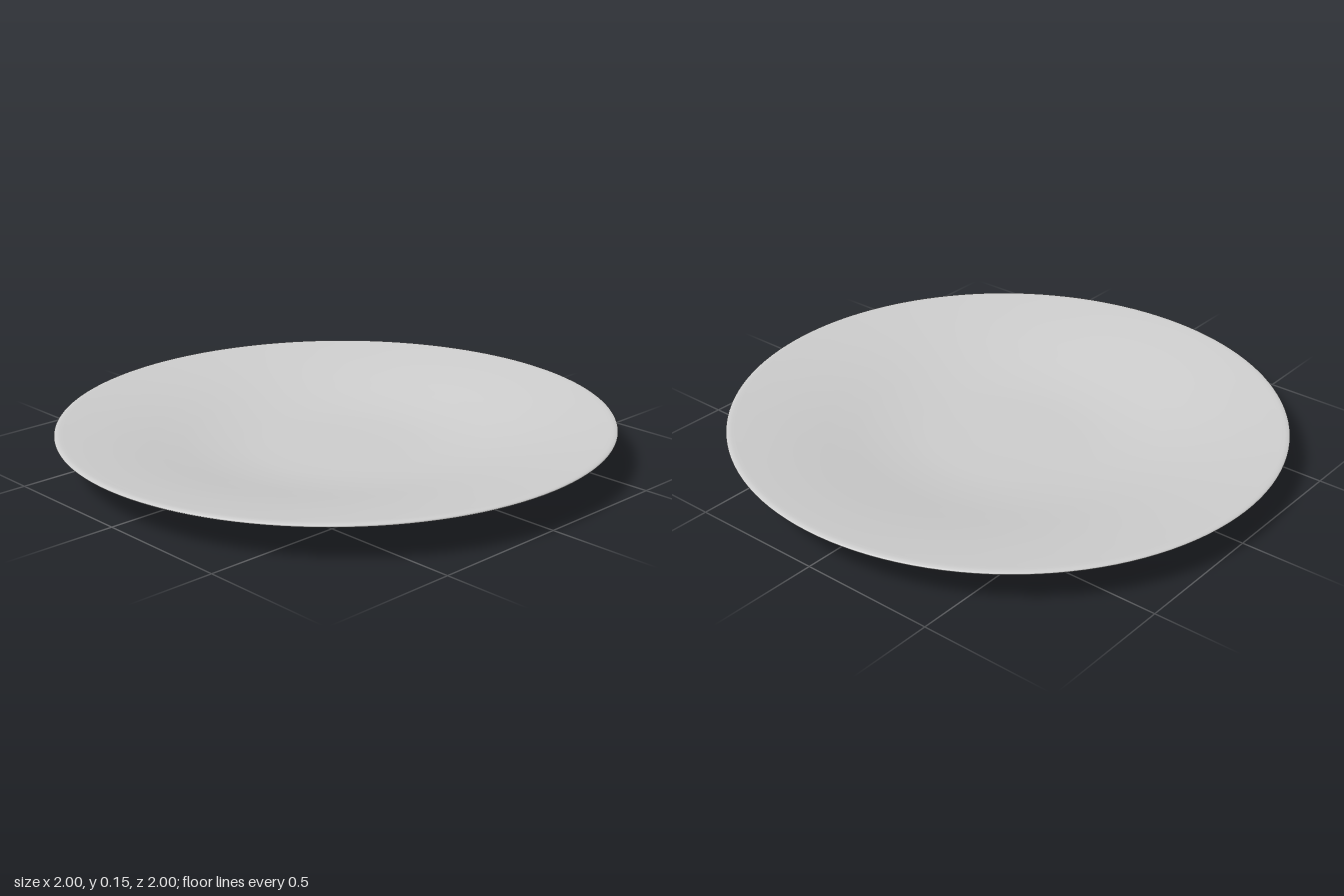
import * as THREE from 'three';

const material = new THREE.MeshStandardMaterial({ color: 0xcccccc, roughness: 0.6 });

// Smooth surface of revolution through a few [radius, height] points
function turned(name, points, samples) {
  const curve = new THREE.SplineCurve(points.map(([r, y]) => new THREE.Vector2(r, y)));
  const profile = curve.getPoints(samples);
  profile.forEach((p) => { p.x = Math.max(p.x, 0); });
  const mesh = new THREE.Mesh(new THREE.LatheGeometry(profile, 128), material);
  mesh.name = name;
  return mesh;
}

export function createModel() {
  const plate = new THREE.Group();
  plate.name = 'plate';

  // Flat foot the plate stands on
  plate.add(turned('footBase', [[0, 0], [0.3, 0], [0.555, 0]], 6));

  // Foot edge with a concave fillet running into the sloping underside
  plate.add(turned('underside', [
    [0.555, 0], [0.562, 0.006], [0.568, 0.014], [0.59, 0.024], [0.63, 0.036],
    [0.7, 0.053], [0.8, 0.075], [0.9, 0.097], [0.97, 0.113], [0.992, 0.119],
  ], 48));

  // Rounded lip
  plate.add(turned('rim', [
    [0.992, 0.119], [0.998, 0.122], [1, 0.126], [0.996, 0.13], [0.985, 0.132], [0.97, 0.131],
  ], 20));

  // Shallow dished eating surface
  plate.add(turned('well', [
    [0.97, 0.131], [0.9, 0.122], [0.8, 0.107], [0.7, 0.089], [0.6, 0.069],
    [0.5, 0.05], [0.4, 0.036], [0.3, 0.028], [0.15, 0.025], [0, 0.025],
  ], 48));

  // The plate rests with a very slight tilt
  plate.rotation.set(0.006, 0, 0.006);
  plate.position.y = 0.006;

  const model = new THREE.Group();
  model.name = 'tiltedPlate';
  model.add(plate);
  return model;
}
